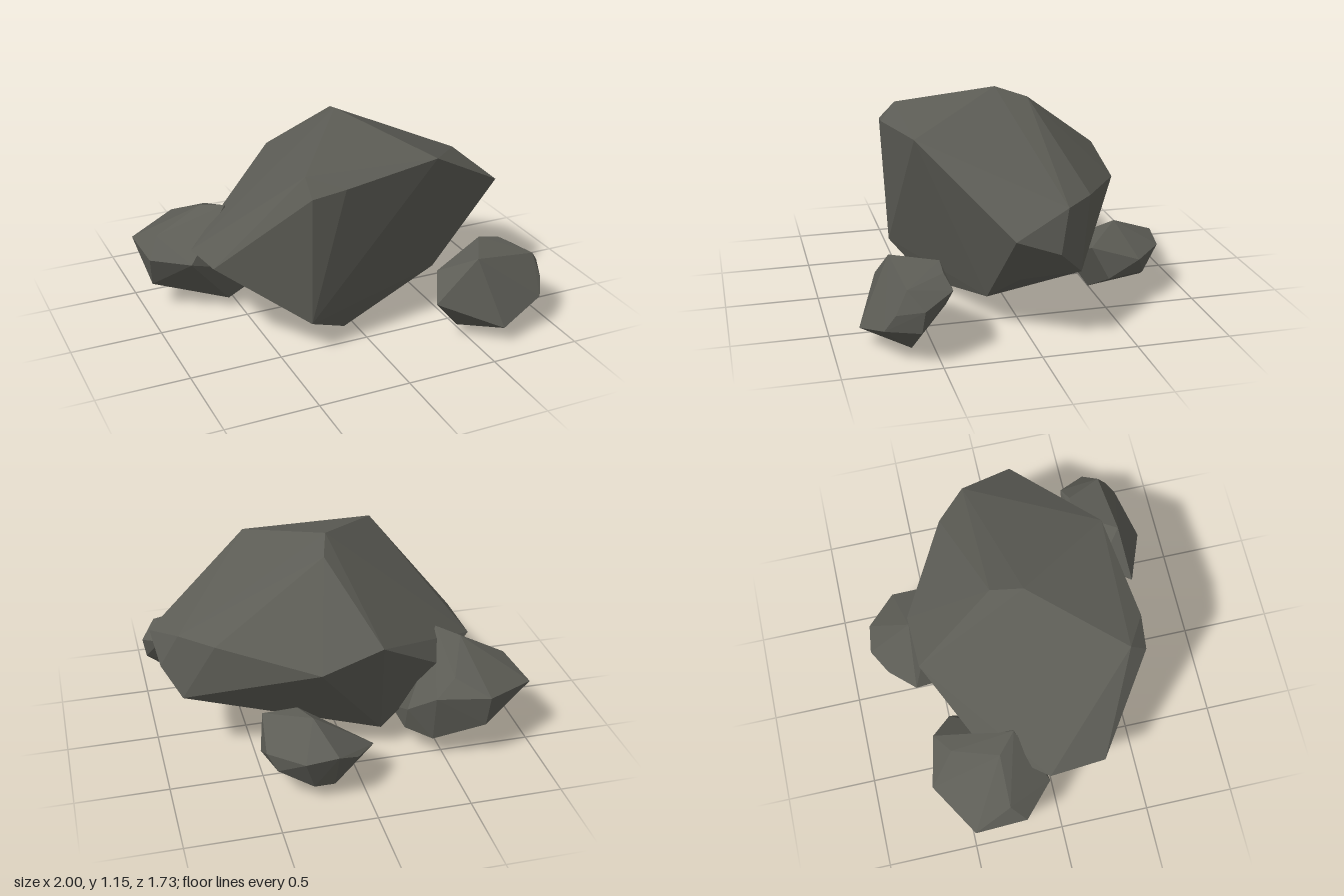
import * as THREE from 'three';
import { ConvexGeometry } from 'three/addons/geometries/ConvexGeometry.js';

const stone = new THREE.MeshStandardMaterial({ color: 0x5c5c55 });
stone.name = 'dark stone';

// A faceted rock is the convex hull of its corner points.
function rock(name, corners) {
  const points = corners.map(([x, y, z]) => new THREE.Vector3(x, y, z));
  const mesh = new THREE.Mesh(new ConvexGeometry(points), stone);
  mesh.name = name;
  return mesh;
}

export function createModel() {
  const group = new THREE.Group();
  group.name = 'rockCluster';

  group.add(rock('boulder', [
    // crest
    [0.03, 1.155, 0.005], [0.08, 1.1, -0.165], [-0.35, 1.005, 0.49],
    // front brow
    [-0.35, 0.915, 0.58], [-0.17, 0.945, 0.595], [0.39, 0.99, 0.515],
    // left end
    [0.99, 0.62, 0.135], [0.965, 0.525, -0.1], [0.87, 0.73, -0.165],
    [0.87, 0.39, -0.235], [0.7, 0.73, -0.33],
    // back edge
    [-0.13, 0.757, -0.605], [0.2, 0.65, -0.617],
    // right end
    [-0.78, 0.48, 0.28], [-0.8, 0.455, -0.03], [-0.54, 0.47, -0.37],
    // underside
    [-0.34, 0.19, 0.545], [-0.08, 0.03, 0.38], [0.57, 0.17, 0.18],
    [0.785, 0.34, 0.06], [-0.2, 0.1, -0.34],
  ]));

  group.add(rock('frontRock', [
    [0.56, 0.45, 0.69], [0.92, 0.4, 0.66], [0.3, 0.25, 0.725], [0.64, 0.1, 0.86],
    [0.94, 0.28, 0.72], [1.0, 0.31, 0.585], [0.98, 0.19, 0.6], [0.91, 0.19, 0.775],
    [0.69, 0.005, 0.645], [0.48, 0.04, 0.63], [0.79, 0.03, 0.62],
    [0.7, 0.45, 0.455], [0.82, 0.43, 0.46], [0.59, 0.23, 0.37],
    [0.91, 0.37, 0.43], [0.39, 0.35, 0.55], [0.62, 0.17, 0.41],
  ]));

  group.add(rock('backRock', [
    [-0.07, 0.22, -0.65], [0.05, 0.25, -0.79], [0.17, 0.31, -0.865], [0.34, 0.28, -0.845],
    [0.46, 0.18, -0.72], [0.51, 0.27, -0.68], [0.51, 0.175, -0.51], [0.48, 0.35, -0.42],
    [0.29, 0.05, -0.465], [0.17, 0.09, -0.775], [0.28, 0.09, -0.775],
    [0.25, 0.41, -0.62], [0.3, 0.39, -0.47], [0.2, 0.215, -0.355], [-0.04, 0.16, -0.53],
  ]));

  group.add(rock('rightRock', [
    // rim
    [-1, 0.37, -0.49], [-0.92, 0.45, -0.28], [-0.985, 0.35, -0.2], [-0.8, 0.36, -0.03],
    [-0.71, 0.41, -0.67], [-0.425, 0.41, -0.61], [-0.3, 0.3, -0.5],
    // top
    [-0.55, 0.61, -0.18], [-0.66, 0.59, -0.28], [-0.55, 0.48, -0.53],
    // underside
    [-0.95, 0.15, -0.3], [-0.55, 0.27, -0.08], [-0.56, 0.06, -0.13], [-0.4, 0.07, -0.37],
    [-0.3, 0.14, -0.2], [-0.3, 0.16, -0.46], [-0.43, 0.13, -0.56], [-0.7, 0.23, -0.64],
  ]));

  return group;
}
